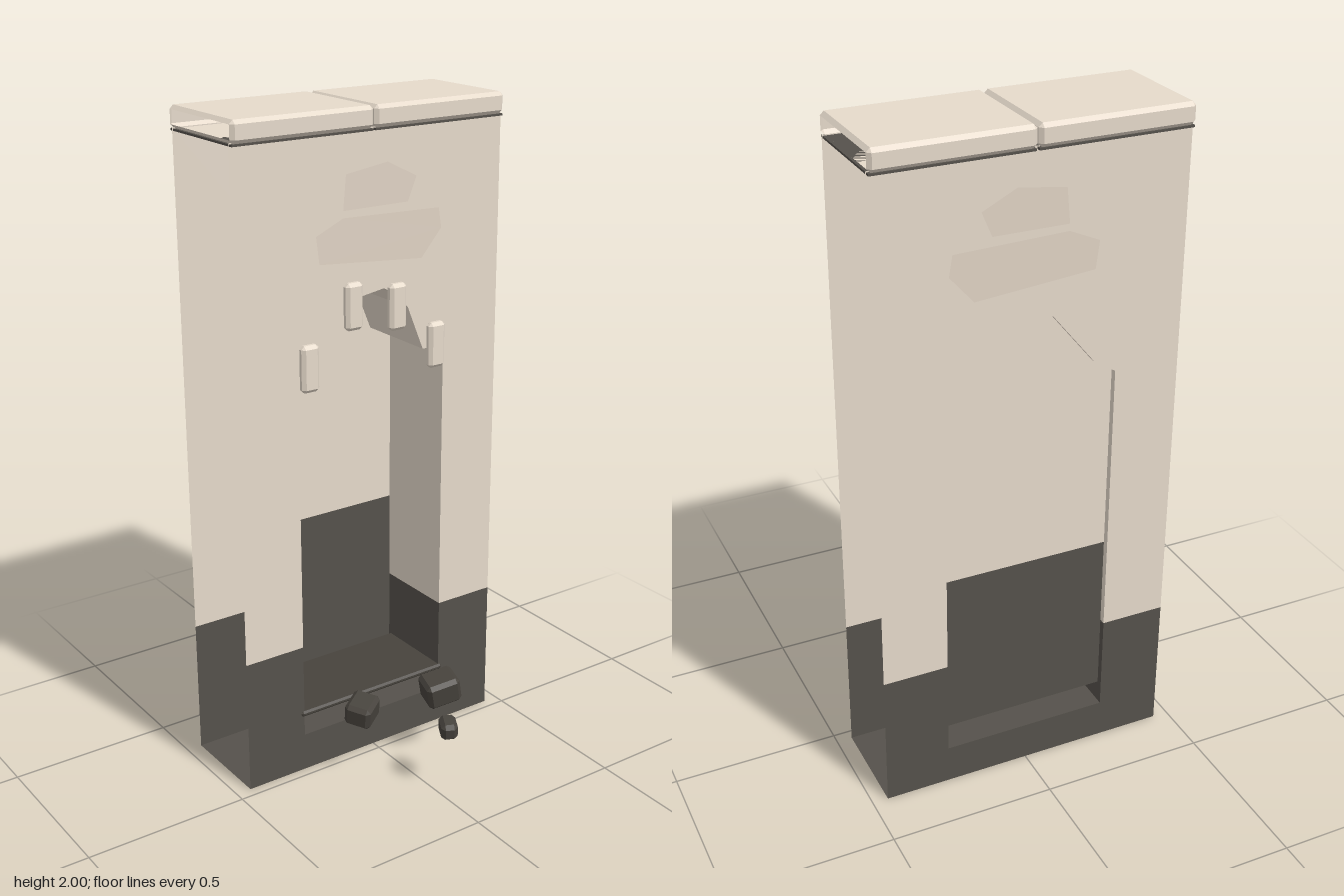
import * as THREE from 'three';
import { ConvexGeometry } from 'three/addons/geometries/ConvexGeometry.js';

const W = 0.4525, O = 0.255, TOP = 1.94, SPLIT = 0.42, SILL = 0.12;
const FRONT = -0.032, BACK = -0.335, DEPTH = FRONT - BACK;
// Broken arch outline, from the left jamb to the right jamb
const ARCH = [[O, 1.275], [0.18, 1.275], [0.125, 1.41], [0.085, 1.455], [0.04, 1.48],
  [-0.06, 1.465], [-0.19, 1.305], [-O, 1.265]];

const mat = (name, color, side = THREE.FrontSide) => {
  const m = new THREE.MeshStandardMaterial({ color, side });
  m.name = name;
  return m;
};

const polygon = (pts) => new THREE.Shape(pts.map(([x, y]) => new THREE.Vector2(x, y)));

// Box with every edge chamfered by c
function chamferBox(w, h, d, c) {
  const pts = [];
  for (const x of [-1, 1]) for (const y of [-1, 1]) for (const z of [-1, 1]) {
    const a = x * w / 2, b = y * h / 2, e = z * d / 2;
    pts.push(new THREE.Vector3(a, b - y * c, e - z * c),
      new THREE.Vector3(a - x * c, b, e - z * c),
      new THREE.Vector3(a - x * c, b - y * c, e));
  }
  return new ConvexGeometry(pts);
}

// Remove the flat end face that looks along +x (s = 1) or -x (s = -1)
function openEnd(geo, s) {
  const p = geo.attributes.position.array, n = geo.attributes.normal.array;
  const pos = [];
  for (let i = 0; i < p.length; i += 9) {
    if (n[i] * s < 0.95) pos.push(...p.slice(i, i + 9));
  }
  const g = new THREE.BufferGeometry();
  g.setAttribute('position', new THREE.Float32BufferAttribute(pos, 3));
  g.computeVertexNormals();
  return g;
}

export function createModel() {
  const group = new THREE.Group();
  const plaster = mat('plaster', 0xe6dacb, THREE.DoubleSide);
  const base = mat('darkBase', 0x55514b, THREE.DoubleSide);
  const patch = mat('wornPatch', 0xe0d3c4, THREE.DoubleSide);
  const rubble = mat('rubble', 0x47433d);

  const add = (name, geo, material, x = 0, y = 0, z = 0, rot = [0, 0, 0]) => {
    const m = new THREE.Mesh(geo, material);
    m.name = name;
    m.position.set(x, y, z);
    m.rotation.set(...rot);
    group.add(m);
  };

  // Front and back wall skins, with the arch cut out
  const lower = polygon([[-W, 0], [W, 0], [W, SPLIT], [O, SPLIT], [O, SILL],
    [-O, SILL], [-O, SPLIT], [-W, SPLIT]]);
  const upper = polygon([[-W, SPLIT], [-O, SPLIT], ...[...ARCH].reverse(),
    [O, SPLIT], [W, SPLIT], [W, TOP], [-W, TOP]]);
  for (const [side, z] of [['front', FRONT], ['back', BACK]]) {
    add(side + 'WallBase', new THREE.ShapeGeometry(lower), base, 0, 0, z);
    add(side + 'Wall', new THREE.ShapeGeometry(upper), plaster, 0, 0, z);
  }

  // Strip running through the wall depth between two outline points
  const mid = (FRONT + BACK) / 2;
  const strip = (name, [x0, y0], [x1, y1], material) => {
    const g = new THREE.PlaneGeometry(Math.hypot(x1 - x0, y1 - y0), DEPTH);
    g.rotateX(Math.PI / 2);
    add(name, g, material, (x0 + x1) / 2, (y0 + y1) / 2, mid, [0, 0, Math.atan2(y1 - y0, x1 - x0)]);
  };
  for (let i = 0; i < ARCH.length - 1; i++) strip('archSoffit', ARCH[i], ARCH[i + 1], plaster);
  for (const s of [1, -1]) {
    strip('jambBase', [s * O, 0], [s * O, SPLIT], base);
    strip('jamb', [s * O, SPLIT], [s * O, TOP], plaster);
  }
  strip('floor', [-W, 0], [W, 0], base);
  strip('openingFloor', [O, SILL], [-O, SILL], base);

  // Panel closing the arch, and the ledge in front of it
  add('panelBase', new THREE.BoxGeometry(0.524, 0.51, 0.015), base, 0, 0.443, -0.308);
  add('panel', new THREE.BoxGeometry(0.524, 0.86, 0.015), plaster, 0, 1.128, -0.308);
  add('ledge', chamferBox(0.532, 0.018, 0.272, 0.006), rubble, 0, 0.194, -0.161);

  // Cap stones with open outer ends and dark undersides
  for (const s of [-1, 1]) {
    add('capStone', openEnd(chamferBox(0.451, 0.063, 0.34, 0.011), s), plaster, s * 0.227, 1.9685, -0.185);
    add('capUnderside', new THREE.BoxGeometry(0.446, 0.006, 0.328), base, s * 0.227, 1.934, -0.185);
  }

  // Loose bricks around the arch
  for (const [x, y, z] of [[-0.22, 1.29, -0.027], [-0.07, 1.446, -0.027],
    [0.082, 1.421, -0.027], [0.219, 1.285, -0.022]]) {
    add('archBrick', chamferBox(0.058, 0.138, 0.03, 0.01), plaster, x, y, z);
  }

  // Worn patches above the arch, on both sides
  const worn = [
    polygon([[-0.18, 1.58], [0.17, 1.55], [0.24, 1.63], [0.23, 1.69], [-0.1, 1.7], [-0.19, 1.66]]),
    polygon([[-0.1, 1.72], [0.12, 1.72], [0.15, 1.79], [0.05, 1.84], [-0.09, 1.82]])];
  for (const z of [FRONT + 0.003, BACK - 0.003]) {
    for (const shape of worn) add('wornPatch', new THREE.ShapeGeometry(shape), patch, 0, 0, z);
  }

  // Fallen rubble
  for (const [x, y, z, w, h, d, rot] of [
    [-0.128, 0.225, 0.093, 0.095, 0.075, 0.083, [0.15, 0.58, 0.1]],
    [0.136, 0.233, 0.133, 0.108, 0.085, 0.095, [0.12, -0.25, 0.22]],
    [0.03, 0.216, 0.312, 0.05, 0.056, 0.068, [0.2, -0.45, 0.12]]]) {
    add('rubbleStone', chamferBox(w, h, d, 0.012), rubble, x, y, z, rot);
  }
  return group;
}
